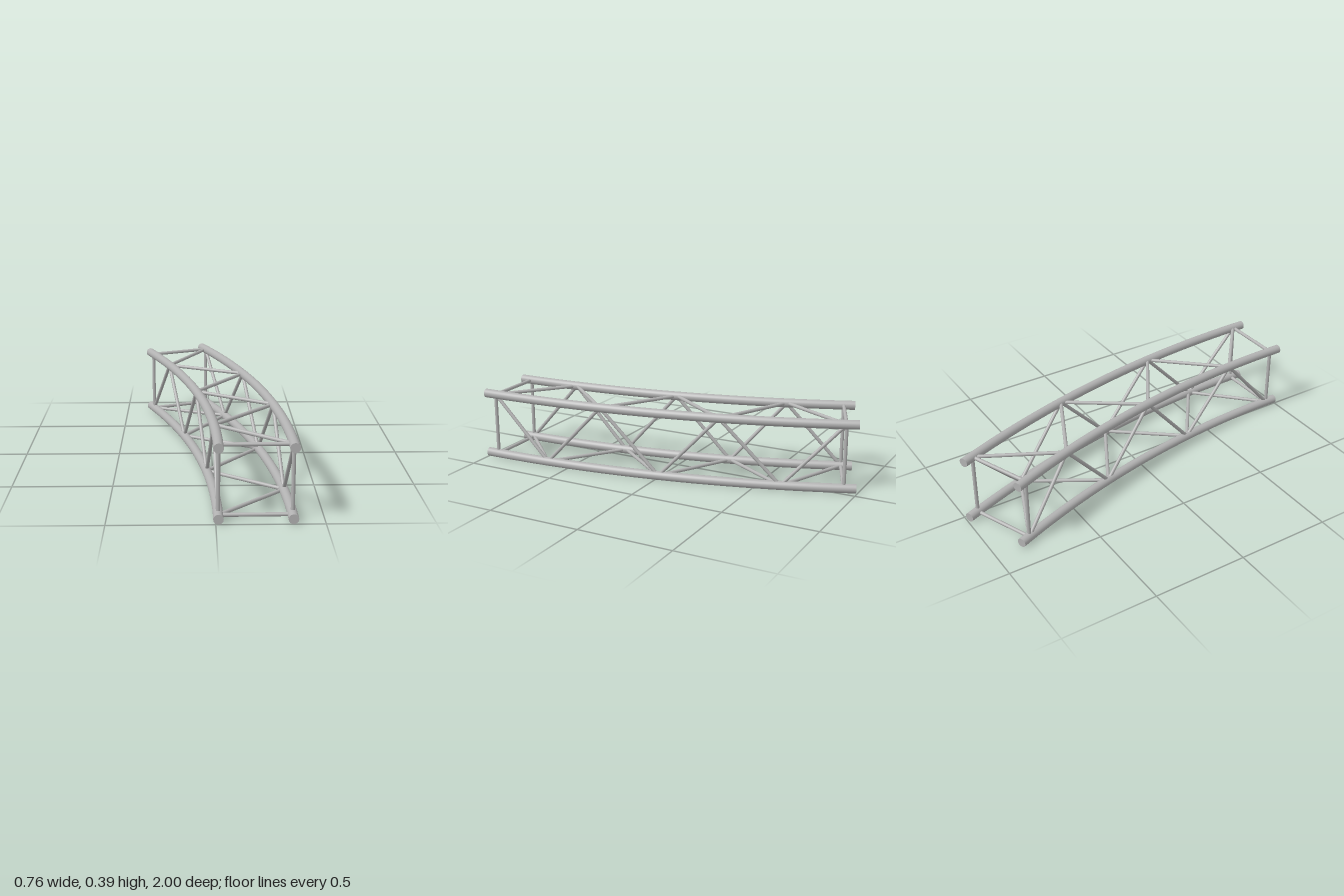
import * as THREE from 'three';

const INNER = 4.862, OUTER = 5.203;   // plan radii of the two chord curves
const CENTRE_X = -4.85;               // shared arc centre, at z = 1
const SWEEP = Math.PI / 8;
const LOW = 0.024, HIGH = 0.362;      // chord heights
const CHORD_R = 0.0238, STRUT_R = 0.0095;
const BAYS = 6, END_INSET = 0.012;

// Point on a chord at a given angle along the bend
function onArc(radius, angle, y) {
  return new THREE.Vector3(CENTRE_X + radius * Math.cos(angle), y, 1 - radius * Math.sin(angle));
}

class ArcCurve extends THREE.Curve {
  constructor(radius, y) {
    super();
    this.radius = radius;
    this.y = y;
  }
  getPoint(t, target = new THREE.Vector3()) {
    return target.copy(onArc(this.radius, t * SWEEP, this.y));
  }
}

export function createModel() {
  const model = new THREE.Group();
  model.name = 'curvedBoxTruss';
  const metal = new THREE.MeshStandardMaterial({ color: 0xb2b2b2 });
  metal.name = 'aluminium grey';

  function add(geometry, name) {
    const mesh = new THREE.Mesh(geometry, metal);
    mesh.name = name;
    model.add(mesh);
    return mesh;
  }

  // Bent main tube with flat end caps
  function chord(radius, y, name) {
    const curve = new ArcCurve(radius, y);
    add(new THREE.TubeGeometry(curve, 32, CHORD_R, 24, false), name);
    for (const t of [0, 1]) {
      const cap = add(new THREE.CircleGeometry(CHORD_R, 24), name + 'Cap');
      const p = curve.getPoint(t);
      const outward = curve.getTangent(t).multiplyScalar(t ? 1 : -1);
      cap.position.copy(p);
      cap.lookAt(p.clone().add(outward));
    }
  }

  // Straight thin tube between two nodes
  function strut(a, b, name) {
    const dir = b.clone().sub(a);
    const mesh = add(new THREE.CylinderGeometry(STRUT_R, STRUT_R, dir.length(), 16), name);
    mesh.position.copy(a).add(b).multiplyScalar(0.5);
    mesh.quaternion.setFromUnitVectors(new THREE.Vector3(0, 1, 0), dir.normalize());
  }

  const node = (radius, k, y) =>
    onArc(radius, END_INSET + (SWEEP - 2 * END_INSET) * k / BAYS, y);

  // Four chords
  chord(INNER, LOW, 'innerLowerChord');
  chord(INNER, HIGH, 'innerUpperChord');
  chord(OUTER, LOW, 'outerLowerChord');
  chord(OUTER, HIGH, 'outerUpperChord');

  // Square frame at each end
  for (const k of [0, BAYS]) {
    for (const r of [INNER, OUTER]) strut(node(r, k, LOW), node(r, k, HIGH), 'endPost');
    for (const y of [LOW, HIGH]) strut(node(INNER, k, y), node(OUTER, k, y), 'endCrossbar');
  }

  // Zigzag lacing on all four faces, opposite faces alternating
  for (let k = 0; k < BAYS; k++) {
    const even = k % 2 === 0;
    const [y0, y1] = even ? [LOW, HIGH] : [HIGH, LOW];
    const [r0, r1] = even ? [INNER, OUTER] : [OUTER, INNER];
    strut(node(INNER, k, y0), node(INNER, k + 1, y1), 'innerBrace');
    strut(node(OUTER, k, y1), node(OUTER, k + 1, y0), 'outerBrace');
    strut(node(r0, k, LOW), node(r1, k + 1, LOW), 'lowerBrace');
    strut(node(r1, k, HIGH), node(r0, k + 1, HIGH), 'upperBrace');
  }
  return model;
}
